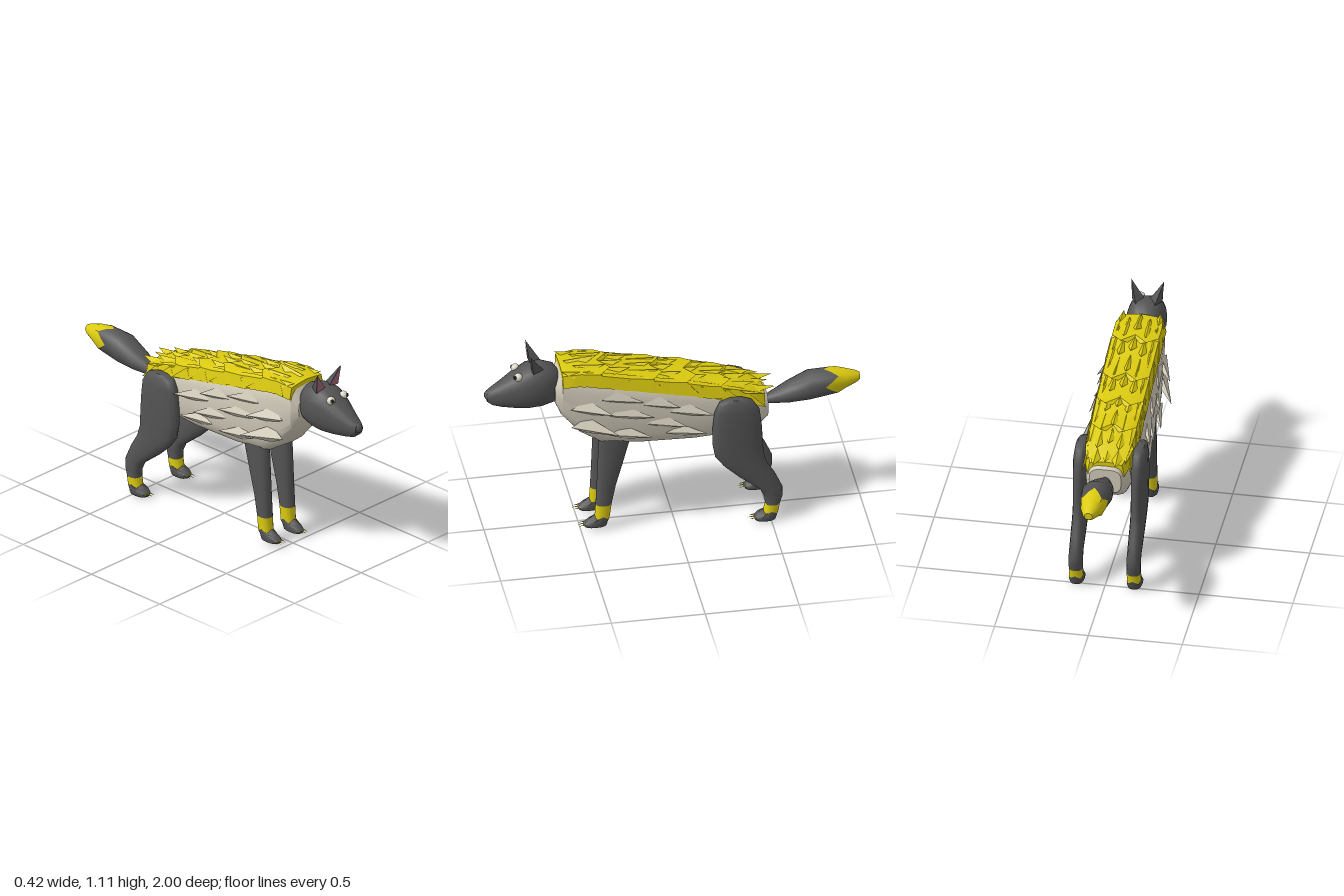
import * as THREE from 'three';
import { mergeGeometries, toCreasedNormals } from 'three/addons/utils/BufferGeometryUtils.js';

const V = (x, y, z) => new THREE.Vector3(x, y, z);
const mat = (name, color) => {
  const m = new THREE.MeshStandardMaterial({ color });
  m.name = name;
  return m;
};
const lerp = THREE.MathUtils.lerp;

// Closed skin over rings of points; an optional tip closes the last ring in a point
function loft(rings, crease = 0.6, tip = null) {
  const n = rings[0].length, pts = rings.flat(), idx = [];
  for (let r = 0; r < rings.length - 1; r++)
    for (let i = 0; i < n; i++) {
      const a = r * n + i, b = r * n + (i + 1) % n;
      idx.push(a, b, a + n, b, b + n, a + n);
    }
  const mid = ring => ring.reduce((s, p) => s.add(p), V(0, 0, 0)).divideScalar(n);
  const c0 = pts.length, c1 = c0 + 1, last = (rings.length - 1) * n;
  const all = [...pts, mid(rings[0]), tip || mid(rings[rings.length - 1])];
  for (let i = 0; i < n; i++) {
    const j = (i + 1) % n;
    idx.push(c0, j, i, c1, last + i, last + j);
  }
  // Turn the skin outward when its volume is negative
  let vol = 0;
  const o = all[c0];
  for (let k = 0; k < idx.length; k += 3) {
    const [a, b, c] = [0, 1, 2].map(q => all[idx[k + q]].clone().sub(o));
    vol += a.dot(b.cross(c));
  }
  if (vol < 0) idx.reverse();
  const g = new THREE.BufferGeometry().setFromPoints(all);
  g.setIndex(idx);
  return toCreasedNormals(g, crease);
}

const sp = (v, e) => Math.sign(v) * Math.abs(v) ** e;
const zigzag = i => Math.abs(i % 4 - 2) - 1;

// Upright ring facing along z: [z, bottom, top, halfWidth]
const ringZ = ([z, lo, hi, rx, zig = 0], n, e) => Array.from({ length: n }, (_, i) => {
  const t = i / n * Math.PI * 2;
  return V(rx * sp(Math.cos(t), e), (lo + hi) / 2 + (hi - lo) / 2 * sp(Math.sin(t), e), z + zig * zigzag(i));
});
// Level ring across a leg: [y, zBack, zFront, halfWidth]
const ringY = ([y, z0, z1, rx, zig = 0], cx) => Array.from({ length: 16 }, (_, i) => {
  const t = i / 16 * Math.PI * 2;
  return V(cx + rx * sp(Math.cos(t), 0.85), y + zig * zigzag(i), (z0 + z1) / 2 + (z1 - z0) / 2 * sp(Math.sin(t), 0.85));
});

// Body sections from chest to rump
const BODY = [
  [0.635, 0.80, 0.92, 0.095], [0.6, 0.72, 0.975, 0.122], [0.5, 0.60, 0.985, 0.135], [0.39, 0.53, 0.962, 0.145],
  [0.2, 0.512, 0.92, 0.153], [-0.1, 0.505, 0.855, 0.15], [-0.3, 0.51, 0.80, 0.13], [-0.43, 0.525, 0.76, 0.115],
  [-0.5, 0.58, 0.72, 0.085]];
function bodyAt(z) {
  let k = 1;
  while (k < BODY.length - 1 && z < BODY[k][0]) k++;
  const a = BODY[k - 1], b = BODY[k];
  const t = THREE.MathUtils.clamp((a[0] - z) / (a[0] - b[0]), 0, 1);
  return { lo: lerp(a[1], b[1], t), top: lerp(a[2], b[2], t), rx: lerp(a[3], b[3], t) };
}

export function createModel() {
  const root = new THREE.Group();
  root.name = 'canine';
  const grey = mat('charcoal', 0x545454), cream = mat('cream', 0xd0c9b8), yellow = mat('yellow', 0xdccb10);
  const pink = mat('inner ear pink', 0xa5647c), white = mat('eye white', 0xe0dccb), black = mat('pupil', 0x26261f);
  const add = (name, geo, m, parent = root) => {
    const mesh = new THREE.Mesh(geo, m);
    mesh.name = name;
    parent.add(mesh);
    return mesh;
  };

  add('body', loft(BODY.map(s => ringZ(s, 20, 0.58)), 0.5), cream);

  // Flank tufts: base at z, tip swept back and outward
  const flank = [];
  for (const s of [-1, 1])
    for (const [z, y, tx, ty, tz, w] of [
      [0.5, 0.79, 0.195, 0.765, 0.34, 0.045], [0.5, 0.68, 0.208, 0.645, 0.31, 0.05], [0.34, 0.84, 0.165, 0.81, 0.17, 0.035],
      [0.3, 0.74, 0.18, 0.72, 0.12, 0.04], [0.3, 0.62, 0.185, 0.6, 0.13, 0.04], [0.12, 0.79, 0.172, 0.76, -0.02, 0.035],
      [0.1, 0.67, 0.18, 0.64, -0.06, 0.04], [-0.02, 0.73, 0.185, 0.70, -0.2, 0.04], [0.0, 0.6, 0.18, 0.59, -0.16, 0.035]]) {
      const x = bodyAt(z).rx;
      flank.push(loft([[V(s * (x - 0.01), y + w, z - 0.03), V(s * (x + 0.003), y, z + 0.06),
        V(s * (x - 0.01), y - w, z - 0.03), V(s * (x - 0.03), y, z - 0.05)]], 0.1, V(s * tx, ty, tz)));
    }
  add('flankTufts', mergeGeometries(flank), cream);

  // Mane: a slab over the back, overlapping layers, then backward spikes
  const maneRing = (z, lift, zig = 0) => {
    const b = bodyAt(z), w = Math.min(0.138, b.rx * 0.92 + 0.014);
    const half = [[w, -0.055], [w - 0.014, 0.012], [w * 0.5, 0.02], [0, 0.026]];
    const shape = [...half, ...half.slice(0, 3).reverse().map(([x, y]) => [-x, y]), [0, -0.07]];
    return shape.map(([x, dy], i) => V(x, b.top + dy + lift, z + (i < 7 && i % 2 ? zig : 0)));
  };
  const mane = [loft([0.6, 0.5, 0.39, 0.2, 0.05, -0.1, -0.3, -0.42, -0.48].map(z => maneRing(z, 0)), 0.4)];
  for (const [z0, z1] of [[0.5, 0.34], [0.28, 0.06], [0.06, -0.12], [-0.14, -0.3]])
    mane.push(loft([maneRing(z0, -0.004), maneRing(z1, 0.022, 0.06)], 0.3));
  const spike = (x, z, w, len, rise) => {
    const y = bodyAt(z).top + 0.012;
    const tipY = bodyAt(Math.max(z - len, -0.5)).top + rise;
    mane.push(loft([[V(x - w, y - 0.015, z - 0.02), V(x, y + 0.02, z + 0.05), V(x + w, y - 0.015, z - 0.02),
      V(x, y - 0.02, z - 0.03)]], 0.1, V(x * 1.08, tipY, z - len)));
  };
  for (const z of [0.53, 0.39, 0.24, 0.12, -0.02, -0.15, -0.27, -0.38]) {
    spike(0, z, 0.04, 0.13, z > 0.5 ? 0.065 : 0.052);
    for (const s of [-1, 1]) {
      spike(s * 0.055, z - 0.04, 0.036, 0.12, 0.046);
      spike(s * 0.098, z + 0.03, 0.03, 0.13, 0.022);
      // Ragged side edge
      const b = bodyAt(z), x = s * Math.min(0.14, b.rx * 0.92 + 0.016);
      mane.push(loft([[V(x, b.top - 0.05, z + 0.03), V(x * 0.92, b.top + 0.01, z), V(x * 0.8, b.top - 0.04, z)]],
        0.1, V(x * 1.02, bodyAt(z - 0.1).top - 0.045, z - 0.1)));
    }
  }
  add('mane', mergeGeometries(mane), yellow);

  // Head and nose
  const head = new THREE.Group();
  head.name = 'head';
  root.add(head);
  add('skull', loft([[0.6, 0.82, 0.95, 0.055], [0.63, 0.785, 0.995, 0.082], [0.7, 0.768, 1.016, 0.102], [0.77, 0.763, 1.01, 0.103],
    [0.84, 0.768, 0.968, 0.086], [0.91, 0.777, 0.918, 0.06], [0.96, 0.79, 0.885, 0.042], [0.985, 0.81, 0.868, 0.028]]
    .map(s => ringZ(s, 20, 0.82)), 0.8), grey, head);
  add('nose', new THREE.SphereGeometry(0.028, 12, 8).translate(0, 0.845, 0.972), grey, head);

  for (const s of [-1, 1]) {
    // Ear: pink face in front, charcoal shell behind
    const inner = V(s * 0.016, 1.008, 0.75), outer = V(s * 0.08, 0.995, 0.75), back = V(s * 0.05, 1.0, 0.69), tip = V(s * 0.088, 1.11, 0.765);
    add('ear', loft([[inner, outer, back]], 0.1, tip), grey, head);
    const face = [inner, outer, tip].map(p => p.clone().lerp(V(s * 0.062, 1.04, 0.755), 0.08).add(V(0, 0, 0.004)));
    const eg = new THREE.BufferGeometry().setFromPoints(s > 0 ? face : face.reverse());
    eg.computeVertexNormals();
    add('innerEar', eg, pink, head);

    // Eye looking slightly outward
    const c = V(s * 0.047, 0.968, 0.825), d = V(s * 0.42, 0.2, 0.88).normalize();
    add('eye', new THREE.SphereGeometry(0.023, 16, 12).translate(c.x, c.y, c.z), white, head);
    for (const [name, r, off, m] of [['iris', 0.011, 0.021, grey], ['pupil', 0.007, 0.0235, black]]) {
      const disc = add(name, new THREE.CylinderGeometry(r, r, 0.004, 12).rotateX(Math.PI / 2), m, head);
      disc.position.copy(c).addScaledVector(d, off);
      disc.lookAt(disc.position.clone().add(d));
    }
  }

  // Legs: charcoal limb, yellow band, charcoal paw, yellow claws
  const front = {
    name: 'front', x: 0.084, toe: 0.478, y: 0.042,
    limb: [[0.62, 0.22, 0.4, 0.036], [0.53, 0.24, 0.405, 0.037], [0.4, 0.275, 0.41, 0.037], [0.27, 0.312, 0.415, 0.036], [0.155, 0.335, 0.42, 0.036]],
    band: [[0.155, 0.335, 0.42, 0.036], [0.078, 0.345, 0.425, 0.036, 0.01]],
    paw: [[0.078, 0.345, 0.425, 0.036, 0.01], [0.055, 0.352, 0.468, 0.036], [0.038, 0.357, 0.488, 0.036], [0.024, 0.362, 0.482, 0.033], [0.02, 0.375, 0.46, 0.024]],
  };
  const hind = {
    name: 'hind', x: 0.154, toe: -0.415, y: 0.03,
    limb: [[0.772, -0.36, -0.27, 0.022], [0.755, -0.405, -0.225, 0.034], [0.7, -0.44, -0.2, 0.041], [0.6, -0.452, -0.19, 0.042], [0.5, -0.458, -0.19, 0.041],
      [0.42, -0.462, -0.205, 0.04], [0.36, -0.48, -0.25, 0.039], [0.29, -0.522, -0.325, 0.038], [0.2, -0.562, -0.44, 0.037], [0.15, -0.562, -0.465, 0.037], [0.105, -0.548, -0.47, 0.037]],
    band: [[0.105, -0.548, -0.47, 0.037], [0.058, -0.54, -0.46, 0.037, 0.008]],
    paw: [[0.058, -0.54, -0.46, 0.037, 0.008], [0.042, -0.535, -0.422, 0.041], [0.025, -0.53, -0.408, 0.042], [0.01, -0.525, -0.415, 0.037], [0.004, -0.51, -0.435, 0.026]],
  };
  for (const L of [front, hind])
    for (const s of [-1, 1]) {
      const leg = new THREE.Group();
      leg.name = L.name + (s > 0 ? 'LeftLeg' : 'RightLeg');
      root.add(leg);
      for (const part of ['limb', 'band', 'paw'])
        add(part, loft(L[part].map(r => ringY(r, s * L.x)), 0.9), part === 'band' ? yellow : grey, leg);
      for (const k of [-1, 0, 1])
        add('claw', new THREE.ConeGeometry(0.005, 0.05, 5).rotateX(Math.PI / 2 + 0.12)
          .translate(s * L.x + k * 0.019, L.y - 0.004, L.toe + 0.016 - Math.abs(k) * 0.006), yellow, leg);
    }

  // Tail with a ragged yellow tip
  const seam = [-0.845, 0.66, 0.802, 0.071, 0.035];
  add('tail', loft([[-0.48, 0.635, 0.665, 0.015], [-0.52, 0.63, 0.685, 0.035], [-0.62, 0.63, 0.74, 0.067], [-0.73, 0.637, 0.795, 0.083], seam]
    .map(s => ringZ(s, 16, 1)), 0.7), grey);
  add('tailTip', loft([seam, [-0.92, 0.682, 0.79, 0.055], [-0.98, 0.708, 0.772, 0.034], [-1, 0.722, 0.762, 0.022]]
    .map(s => ringZ(s, 16, 1)), 0.7), yellow);

  return root;
}
